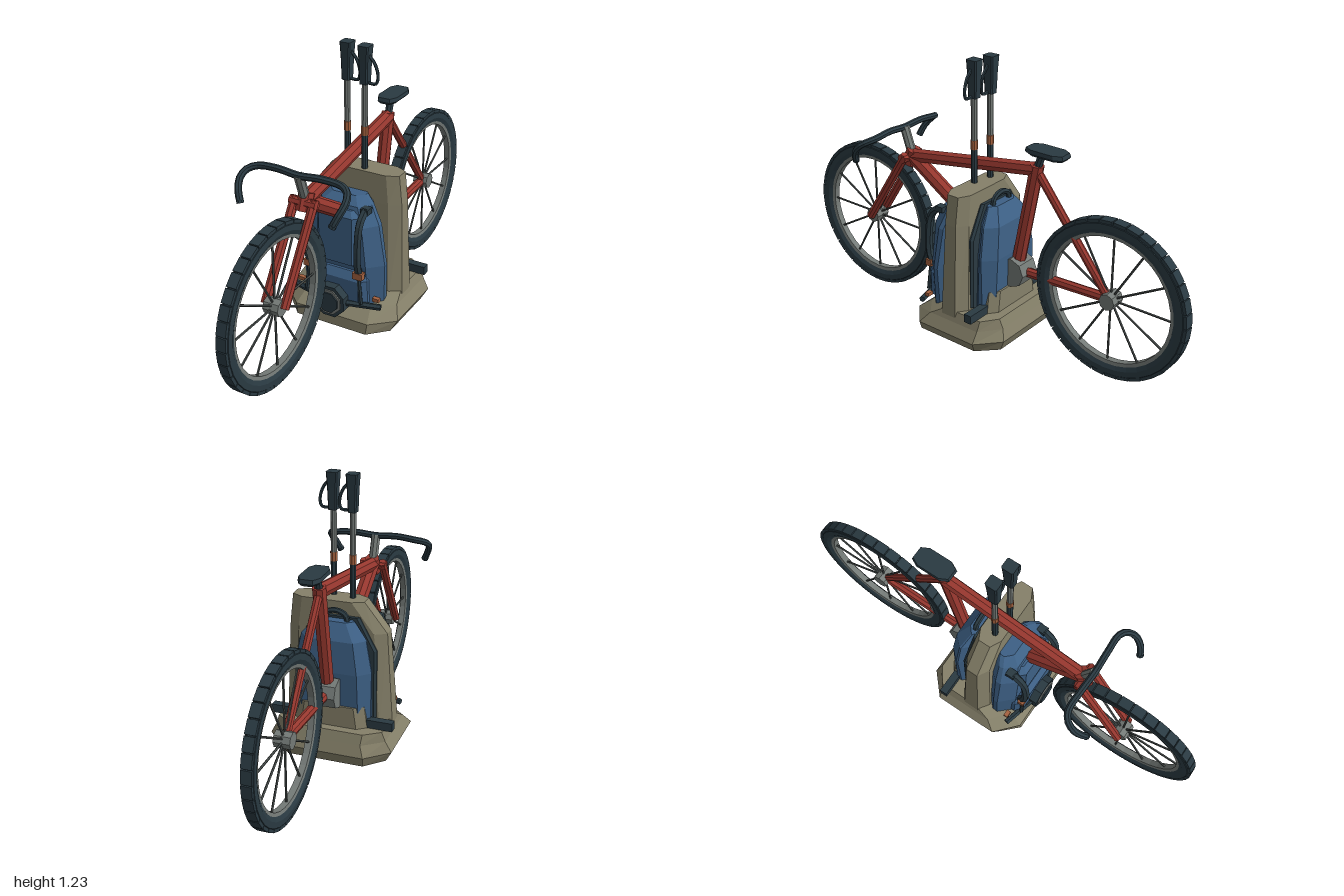
import * as THREE from 'three';

const paint = (name, color) => Object.assign(new THREE.MeshStandardMaterial({ color, flatShading: true }), { name });
const M = {
  red: paint('frame red', 0x98382f),
  dark: paint('dark slate', 0x2a3a42),
  tan: paint('stone tan', 0x858069),
  blue: paint('pack blue', 0x3d6085),
  grey: paint('metal grey', 0x747a77),
  orange: paint('copper', 0xa5623f),
  brown: paint('base brown', 0x5a3427),
  spoke: paint('spoke grey', 0x474d4c),
  black: paint('slot black', 0x1d2427),
};

const V = (x, y, z) => new THREE.Vector3(x, y, z);

function add(group, name, geometry, material) {
  const mesh = new THREE.Mesh(geometry, material);
  mesh.name = name;
  group.add(mesh);
  return mesh;
}

function box(group, name, material, w, h, d, x, y, z) {
  const mesh = add(group, name, new THREE.BoxGeometry(w, h, d), material);
  mesh.position.set(x, y, z);
  return mesh;
}

// Straight bar between two points, optionally tapered
function rod(group, name, material, a, b, r, sides = 8, r2 = r) {
  const dir = b.clone().sub(a);
  const mesh = add(group, name, new THREE.CylinderGeometry(r2, r, dir.length(), sides), material);
  mesh.position.copy(a).add(b).multiplyScalar(0.5);
  mesh.quaternion.setFromUnitVectors(V(0, 1, 0), dir.normalize());
  return mesh;
}

function tube(group, name, material, points, r, segments = 16, sides = 6) {
  const curve = new THREE.CatmullRomCurve3(points, false, 'centripetal');
  return add(group, name, new THREE.TubeGeometry(curve, segments, r, sides), material);
}

// Stack of chamfered rectangles: [y, x0, x1, z0, z1, chamferX, chamferZ]
function loft(group, name, material, sections) {
  const pos = [], index = [], n = 8;
  for (const [y, x0, x1, z0, z1, cx, cz] of sections) {
    pos.push(x0 + cx, y, z1, x1 - cx, y, z1, x1, y, z1 - cz, x1, y, z0 + cz,
      x1 - cx, y, z0, x0 + cx, y, z0, x0, y, z0 + cz, x0, y, z1 - cz);
  }
  const top = (sections.length - 1) * n;
  for (let s = 0; s < top; s += n) {
    for (let j = 0; j < n; j++) {
      const k = (j + 1) % n;
      index.push(s + j, s + k, s + n + k, s + j, s + n + k, s + n + j);
    }
  }
  for (let j = 1; j < n - 1; j++) index.push(0, j + 1, j, top, top + j, top + j + 1);
  const g = new THREE.BufferGeometry();
  g.setAttribute('position', new THREE.Float32BufferAttribute(pos, 3));
  g.setIndex(index);
  g.computeVertexNormals();
  return add(group, name, g, material);
}

// Ring around the x axis from a closed [radius, x] profile
function ring(group, name, material, profile, segments) {
  const pts = [...profile, profile[0]].map(([r, x]) => new THREE.Vector2(r, x));
  add(group, name, new THREE.LatheGeometry(pts, segments), material).rotation.z = -Math.PI / 2;
}

function makeWheel(name, z) {
  const wheel = new THREE.Group();
  wheel.name = name;
  ring(wheel, 'tyre', M.dark, [[0.29, -0.016], [0.31, -0.025], [0.335, -0.024], [0.343, -0.012],
    [0.343, 0.012], [0.335, 0.024], [0.31, 0.025], [0.29, 0.016]].map(([r, x]) => [r, x]), 36);
  ring(wheel, 'rim', M.grey, [[0.277, -0.014], [0.292, -0.017], [0.292, 0.017], [0.277, 0.014]], 36);
  for (let i = 0; i < 36; i++) {
    const a = ((i + 0.5) / 36) * Math.PI * 2;
    const block = box(wheel, 'tread', M.dark, 0.044, 0.014, 0.056, 0, Math.cos(a) * 0.343, Math.sin(a) * 0.343);
    block.rotation.x = a;
  }
  for (let i = 0; i < 12; i++) {
    const a = (i / 12) * Math.PI * 2;
    rod(wheel, 'spoke', M.spoke, V(0, 0, 0), V(0, Math.cos(a) * 0.283, Math.sin(a) * 0.283), 0.005, 5);
  }
  rod(wheel, 'hub', M.grey, V(-0.035, 0, 0), V(0.035, 0, 0), 0.036, 8);
  wheel.position.set(0, 0.355, z);
  return wheel;
}

function makeBicycle() {
  const bike = new THREE.Group();
  bike.name = 'bicycle';
  bike.add(makeWheel('frontWheel', 0.65), makeWheel('rearWheel', -0.65));
  const head = V(0, 0.71, 0.41), seat = V(0, 0.82, -0.27), crank = V(0, 0.335, -0.18), axle = V(0, 0.355, -0.64);
  rod(bike, 'topTube', M.red, head, seat, 0.031);
  rod(bike, 'downTube', M.red, head, crank, 0.033);
  rod(bike, 'seatTube', M.red, V(0, 0.84, -0.274), crank, 0.03);
  rod(bike, 'seatStay', M.red, seat, axle, 0.018);
  rod(bike, 'chainStay', M.red, crank, axle, 0.021);
  rod(bike, 'crankHousing', M.grey, V(-0.05, 0.335, -0.18), V(0.05, 0.335, -0.18), 0.067);
  // Fork
  rod(bike, 'headTube', M.red, V(0, 0.67, 0.43), V(0, 0.74, 0.4), 0.034);
  rod(bike, 'forkCrown', M.red, V(-0.06, 0.705, 0.425), V(0.06, 0.705, 0.425), 0.022);
  for (const s of [-1, 1]) rod(bike, 'forkLeg', M.red, V(s * 0.044, 0.72, 0.415), V(s * 0.044, 0.355, 0.65), 0.02);
  // Handlebar
  rod(bike, 'stem', M.grey, V(0, 0.72, 0.415), V(0, 0.835, 0.455), 0.021);
  const half = [V(0.1, 0.84, 0.452), V(0.19, 0.832, 0.452), V(0.225, 0.82, 0.475), V(0.237, 0.795, 0.51),
    V(0.225, 0.755, 0.543), V(0.208, 0.715, 0.557)];
  const other = half.map((p) => V(-p.x, p.y, p.z)).reverse();
  tube(bike, 'handlebar', M.dark, [...other, V(0, 0.833, 0.455), ...half], 0.015, 32, 8);
  for (const s of [-1, 1]) rod(bike, 'barEnd', M.dark, V(s * 0.21, 0.72, 0.556), V(s * 0.206, 0.71, 0.559), 0.016);
  // Saddle
  rod(bike, 'seatPost', M.dark, V(0, 0.82, -0.272), V(0, 0.9, -0.3), 0.017);
  loft(bike, 'saddle', M.dark, [[0.888, -0.035, 0.035, -0.405, -0.24, 0.015, 0.03],
    [0.9, -0.047, 0.047, -0.415, -0.23, 0.018, 0.035], [0.917, -0.045, 0.045, -0.41, -0.235, 0.018, 0.035]]);
  return bike;
}

function makeStand() {
  const stand = new THREE.Group();
  stand.name = 'luggageStand';
  loft(stand, 'base', M.tan, [[0.03, -0.25, 0.25, -0.225, 0.235, 0.08, 0.08], [0.08, -0.277, 0.277, -0.247, 0.232, 0.1, 0.09],
    [0.13, -0.25, 0.25, -0.23, 0.17, 0.09, 0.07], [0.175, -0.235, 0.235, -0.215, 0.075, 0.07, 0.05]]);
  loft(stand, 'upright', M.tan, [[0.12, -0.245, 0.245, -0.07, 0.075, 0.05, 0.035],
    [0.57, -0.212, 0.227, -0.06, 0.055, 0.05, 0.03], [0.7, -0.11, 0.212, -0.058, 0.048, 0.05, 0.025]]);
  loft(stand, 'rearTray', M.tan, [[0.17, -0.165, 0.165, -0.178, -0.08, 0.04, 0.03], [0.27, -0.15, 0.15, -0.176, -0.09, 0.04, 0.03]]);
  // Underside plate with slots
  loft(stand, 'solePlate', M.brown, [[0.02, -0.15, 0.15, -0.14, 0.15, 0.05, 0.05], [0.032, -0.18, 0.18, -0.17, 0.18, 0.05, 0.05]]);
  for (const x of [-0.07, 0.07]) for (const z of [-0.065, 0.075]) box(stand, 'soleSlot', M.black, 0.09, 0.006, 0.035, x, 0.019, z);
  for (const s of [-1, 1]) box(stand, 'sidePeg', M.dark, 0.12, 0.038, 0.035, s * 0.215, 0.193, -0.13);
  return stand;
}

function makeFrontPack() {
  const pack = new THREE.Group();
  pack.name = 'frontPack';
  loft(pack, 'packBody', M.blue, [[0.12, -0.195, 0.195, 0.04, 0.165, 0.05, 0.05], [0.32, -0.2, 0.2, 0.04, 0.18, 0.06, 0.06],
    [0.5, -0.168, 0.168, 0.03, 0.175, 0.05, 0.06], [0.58, -0.125, 0.125, 0.03, 0.15, 0.04, 0.05], [0.61, -0.085, 0.085, 0.03, 0.11, 0.03, 0.03]]);
  loft(pack, 'upperPocket', M.blue, [[0.32, -0.1, 0.1, 0.13, 0.192, 0.02, 0.02], [0.54, -0.1, 0.1, 0.13, 0.19, 0.02, 0.02],
    [0.565, -0.08, 0.08, 0.12, 0.165, 0.02, 0.02]]);
  loft(pack, 'lowerPocket', M.blue, [[0.15, -0.15, 0.15, 0.13, 0.21, 0.03, 0.03], [0.26, -0.15, 0.15, 0.13, 0.212, 0.03, 0.03],
    [0.295, -0.13, 0.13, 0.13, 0.19, 0.03, 0.02]]);
  for (const s of [-1, 1]) {
    tube(pack, 'shoulderStrap', M.dark, [V(s * 0.12, 0.575, 0.145), V(s * 0.12, 0.53, 0.195), V(s * 0.12, 0.43, 0.215),
      V(s * 0.12, 0.33, 0.212), V(s * 0.12, 0.285, 0.19)], 0.017, 12);
    box(pack, 'strapAnchor', M.dark, 0.036, 0.025, 0.04, s * 0.12, 0.57, 0.14);
    box(pack, 'buckle', M.orange, 0.045, 0.03, 0.03, s * 0.12, 0.293, 0.205);
    rod(pack, 'strapTail', M.dark, V(s * 0.12, 0.29, 0.205), V(s * 0.135, 0.16, 0.21), 0.009, 6);
    rod(pack, 'waistBelt', M.dark, V(s * 0.06, 0.15, 0.22), V(s * 0.215, 0.15, 0.18), 0.014, 6);
    box(pack, 'beltClip', M.orange, 0.03, 0.016, 0.02, s * 0.185, 0.172, 0.165);
  }
  // Lantern-like pouch on the front
  const octagon = (name, m, r, z0, z1) => {
    const mesh = rod(pack, name, m, V(0, 0.153, z0), V(0, 0.153, z1), r, 8);
    mesh.rotateY(Math.PI / 8);
  };
  octagon('pouch', M.dark, 0.078, 0.17, 0.25);
  octagon('pouchRim', M.grey, 0.062, 0.245, 0.256);
  octagon('pouchFace', M.dark, 0.05, 0.25, 0.262);
  return pack;
}

function makeRearPack() {
  const pack = new THREE.Group();
  pack.name = 'rearPack';
  loft(pack, 'packBody', M.blue, [[0.17, -0.17, 0.17, -0.165, -0.06, 0.04, 0.04], [0.42, -0.172, 0.172, -0.17, -0.06, 0.05, 0.05],
    [0.56, -0.145, 0.145, -0.158, -0.06, 0.045, 0.045], [0.63, -0.085, 0.085, -0.115, -0.06, 0.03, 0.025]]);
  loft(pack, 'backPad', M.dark, [[0.18, -0.18, 0.18, -0.078, -0.05, 0.01, 0.01], [0.5, -0.178, 0.178, -0.078, -0.05, 0.01, 0.01],
    [0.64, -0.1, 0.1, -0.074, -0.05, 0.01, 0.01]]);
  tube(pack, 'carryHandle', M.dark, [V(-0.055, 0.62, -0.09), V(-0.045, 0.655, -0.09), V(0, 0.672, -0.09),
    V(0.045, 0.655, -0.09), V(0.055, 0.62, -0.09)], 0.012, 12);
  return pack;
}

function makePole(name, x, z) {
  const pole = new THREE.Group();
  pole.name = name;
  rod(pole, 'lowerShaft', M.dark, V(0, 0.6, 0), V(0, 0.86, 0), 0.014);
  rod(pole, 'collar', M.orange, V(0, 0.85, 0), V(0, 0.89, 0), 0.016);
  rod(pole, 'upperShaft', M.grey, V(0, 0.88, 0), V(0, 1.09, 0), 0.0135);
  loft(pole, 'grip', M.dark, [[1.075, -0.018, 0.018, -0.022, 0.02, 0.005, 0.006], [1.17, -0.021, 0.021, -0.026, 0.022, 0.005, 0.006],
    [1.236, -0.025, 0.025, -0.03, 0.024, 0.005, 0.006]]);
  tube(pole, 'wristLoop', M.dark, [V(0.015, 1.2, 0), V(0.045, 1.165, 0), V(0.06, 1.115, 0), V(0.052, 1.082, 0), V(0.015, 1.08, 0)], 0.007, 14, 5);
  pole.position.set(x, 0, z);
  return pole;
}

export function createModel() {
  const model = new THREE.Group();
  model.name = 'touringBicycleWithLuggage';
  model.add(makeBicycle(), makeStand(), makeFrontPack(), makeRearPack());
  model.add(makePole('rightPole', -0.045, 0.005), makePole('leftPole', 0.045, 0.018));
  return model;
}
